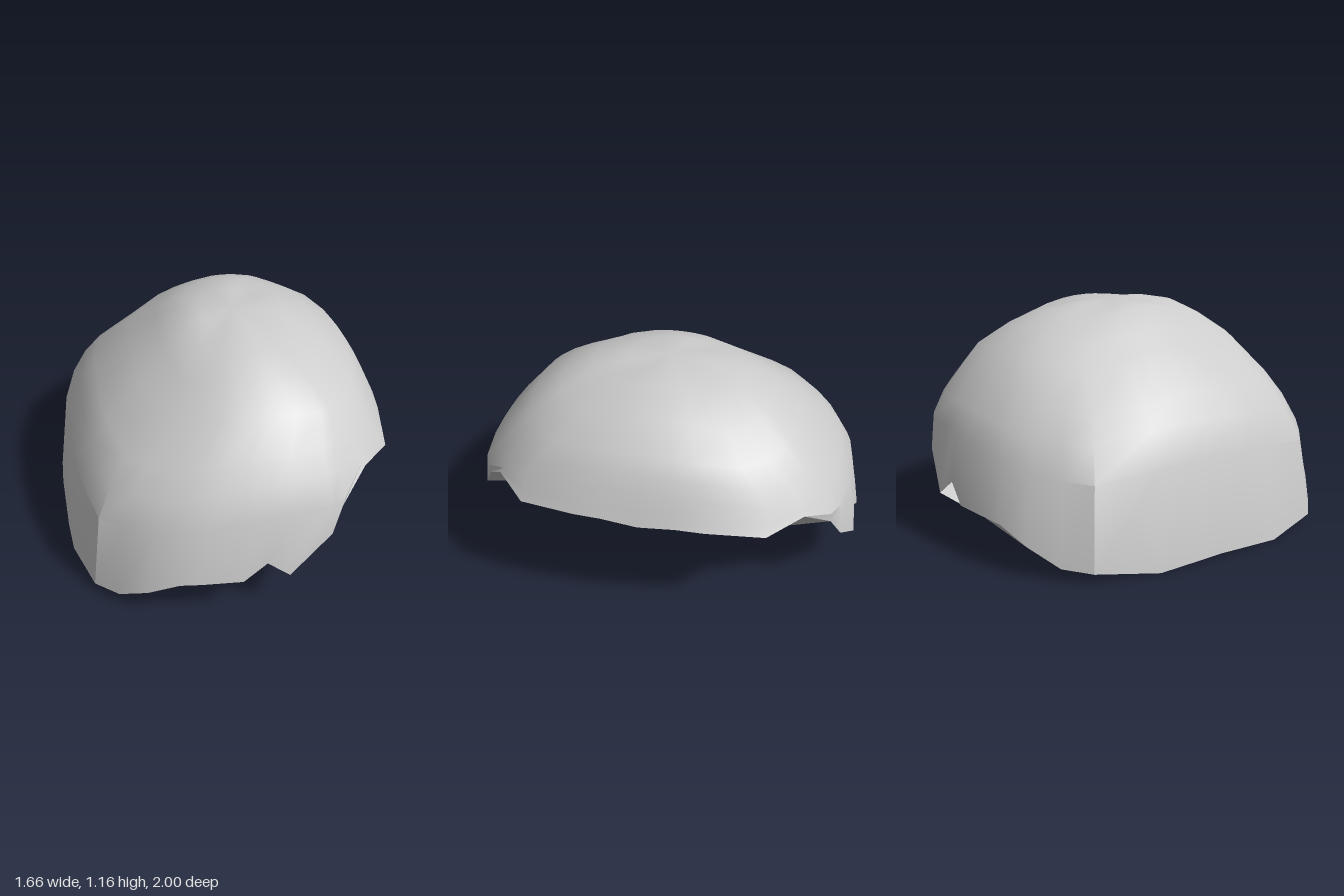
import * as THREE from 'three';
import { toCreasedNormals } from 'three/addons/utils/BufferGeometryUtils.js';

// Front half of the shell's columns, from the low end to the raised end:
// ragged rim point x, y, z and the column's place u, w on a unit ring
const COLUMNS = [
  [-0.83, 0.015, 0, -1, 0], [-0.83, 0.01, 0.18, -1, 0.18], [-0.82, 0, 0.36, -0.985, 0.36],
  [-0.74, 0.045, 0.68, -0.9, 0.68], [-0.63, 0.06, 0.79, -0.76, 0.79], [-0.5, 0.15, 0.895, -0.6, 0.895],
  [-0.35, 0.225, 0.95, -0.42, 0.95], [-0.25, 0.235, 0.975, -0.3, 0.975], [-0.05, 0.24, 1, -0.06, 1],
  [0.07, 0.325, 0.985, 0.085, 1], [0.18, 0.24, 1, 0.22, 1], [0.4, 0.41, 0.935, 0.47, 0.97],
  [0.46, 0.53, 0.88, 0.56, 0.93], [0.6, 0.66, 0.76, 0.73, 0.83], [0.76, 0.635, 0.6, 0.89, 0.67],
  [0.815, 0.655, 0.32, 0.975, 0.36], [0.83, 0.665, 0.18, 0.995, 0.18], [0.83, 0.645, 0, 1, 0],
];

// Rings above the rim: left x, y; middle half-depth, y; right x, y
const RINGS = [
  [-0.77, 0.5, 0.945, 0.57, 0.82, 0.68],
  [-0.69, 0.66, 0.88, 0.69, 0.77, 0.81],
  [-0.6, 0.78, 0.8, 0.8, 0.73, 0.88],
  [-0.4, 0.95, 0.67, 0.96, 0.68, 0.95],
  [-0.27, 1.05, 0.53, 1.05, 0.53, 1.06],
  [-0.15, 1.135, 0.38, 1.12, 0.37, 1.142],
  [-0.06, 1.155, 0.2, 1.155, 0.25, 1.156],
];

const flip = ([x, y, z]) => [x, y, -z];

// Where a column crosses a ring: corners sag, and the long slope has two dents
function ringPoint([xl, yl, depth, ym, xr, yr], u, w) {
  const x = (xl + xr) / 2 + (u * (xr - xl)) / 2;
  const z = w * depth;
  const y = ym + ((yr - yl) / 2) * u + ((yr + yl) / 2 - ym) * u * u;
  const sag = 0.16 * depth * (u * w) ** 2;
  const dent = 0.03 * Math.exp(-((x + 0.33) ** 2 + (Math.abs(z) - 0.33) ** 2) / 0.025);
  return [x, y - sag - dent, z];
}

// One column from rim to top; where the rim is high its first step is shortened
function column([x, y, z, u, w]) {
  const rim = [x, y, z];
  const points = RINGS.map((ring) => ringPoint(ring, u, w));
  if (points[0][1] < y + 0.04) points[0] = rim.map((v, k) => v + 0.4 * (points[1][k] - v));
  return [rim, ...points];
}

function meshFrom(name, geometry) {
  const material = new THREE.MeshStandardMaterial({ color: 0xcccccc, side: THREE.DoubleSide });
  const mesh = new THREE.Mesh(geometry, material);
  mesh.name = name;
  return mesh;
}

function triangleGeometry(triangles) {
  const geometry = new THREE.BufferGeometry();
  geometry.setAttribute('position', new THREE.Float32BufferAttribute(triangles.flat(2), 3));
  return geometry;
}

export function createModel() {
  const group = new THREE.Group();
  group.name = 'brokenDome';

  // Domed shell, column by column up to the crown
  const half = COLUMNS.map(column);
  const columns = [...half, ...half.slice(1, -1).reverse().map((c) => c.map(flip))];
  const crown = [0.1, 1.16, 0];
  const shell = [];
  columns.forEach((p, i) => {
    const q = columns[(i + 1) % columns.length];
    for (let r = 0; r < RINGS.length; r++) {
      shell.push([p[r], q[r], q[r + 1]], [p[r], q[r + 1], p[r + 1]]);
    }
    shell.push([p[RINGS.length], q[RINGS.length], crown]);
  });
  group.add(meshFrom('domeShell', toCreasedNormals(triangleGeometry(shell), 0.5)));

  // Underside: a fan over the rim from one point on the back edge
  const rim = columns.map((c) => c[0]);
  const hub = rim.length - 7;
  const under = [];
  // the back corner of the raised end is bridged by two small triangles
  const [a, b, c, d] = [19, 20, 21, 22].map((i) => rim[i]);
  under.push([a, c, b], [a, d, c]);
  const edge = rim.filter((_, i) => i !== 20 && i !== 21);
  edge.forEach((p, i) => {
    const q = edge[(i + 1) % edge.length];
    if (p !== rim[hub] && q !== rim[hub]) under.push([rim[hub], q, p]);
  });
  // one shared normal makes the underside read as a single cut
  const cut = triangleGeometry(under);
  const normals = under.flatMap(() => [1, 2, 3].flatMap(() => [0.37, -0.93, 0]));
  cut.setAttribute('normal', new THREE.Float32BufferAttribute(normals, 3));
  group.add(meshFrom('underside', cut));

  return group;
}
